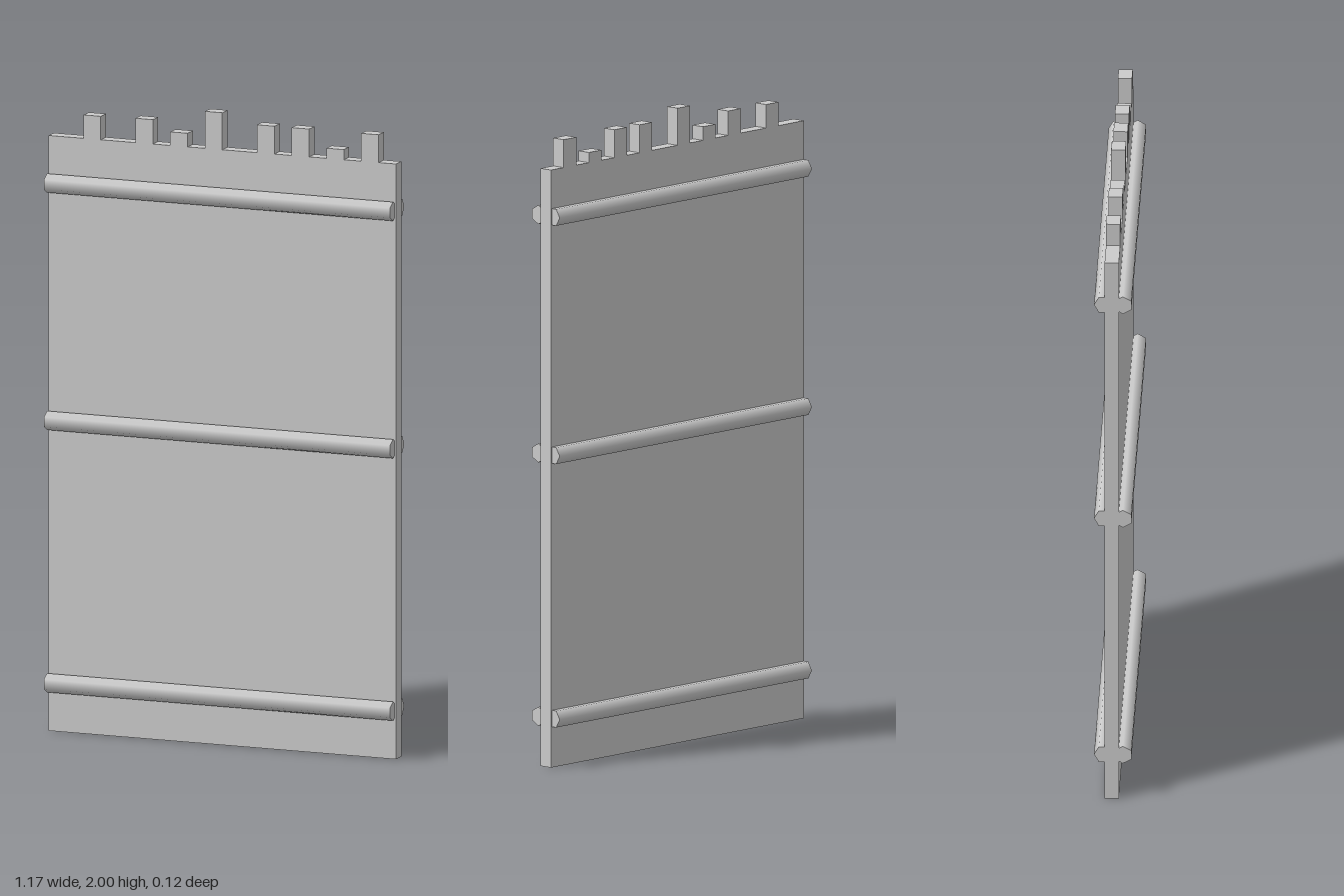
import * as THREE from 'three';

const WIDTH = 1.166, HALF = WIDTH / 2, TOP = 1.883;
const SLOT = WIDTH / 20; // one board width along the top edge
const Z_BACK = -0.025, Z_FRONT = 0.019;

// Boards that stick up above the panel: [slot index, top height]
const BOARDS = [
  [2, 1.957], [5, 1.96], [7, 1.926], [9, 2],
  [12, 1.971], [14, 1.971], [16, 1.915], [18, 1.971],
];
const RAIL_HEIGHTS = [0.154, 0.984, 1.735];
const RAIL_RADIUS = 0.03;

export function createModel() {
  const group = new THREE.Group();
  group.name = 'woodenWall';
  const material = new THREE.MeshStandardMaterial({ color: 0xcccccc });

  // Flat panel with an uneven top edge
  const outline = new THREE.Shape();
  outline.moveTo(-HALF, 0);
  outline.lineTo(HALF, 0);
  outline.lineTo(HALF, TOP);
  for (const [slot, height] of [...BOARDS].reverse()) {
    const x = -HALF + slot * SLOT;
    outline.lineTo(x + SLOT, TOP);
    outline.lineTo(x + SLOT, height);
    outline.lineTo(x, height);
    outline.lineTo(x, TOP);
  }
  outline.lineTo(-HALF, TOP);
  outline.closePath();
  const panelGeometry = new THREE.ExtrudeGeometry(outline, { depth: Z_FRONT - Z_BACK, bevelEnabled: false });
  panelGeometry.translate(0, 0, Z_BACK);
  const panel = new THREE.Mesh(panelGeometry, material);
  panel.name = 'panel';
  group.add(panel);

  // Six-sided, smooth-shaded cross rails: flat side out in front, edge out at the back
  const addRails = (name, z, turn) => {
    const geometry = new THREE.CylinderGeometry(RAIL_RADIUS, RAIL_RADIUS, WIDTH - 0.004, 6, 1, false, turn);
    geometry.rotateZ(Math.PI / 2);
    for (const y of RAIL_HEIGHTS) {
      const rail = new THREE.Mesh(geometry, material);
      rail.name = name;
      rail.position.set(-0.002, y, z);
      group.add(rail);
    }
  };
  addRails('frontRail', 0.032, Math.PI / 6);
  addRails('backRail', -0.028, 0);

  return group;
}
